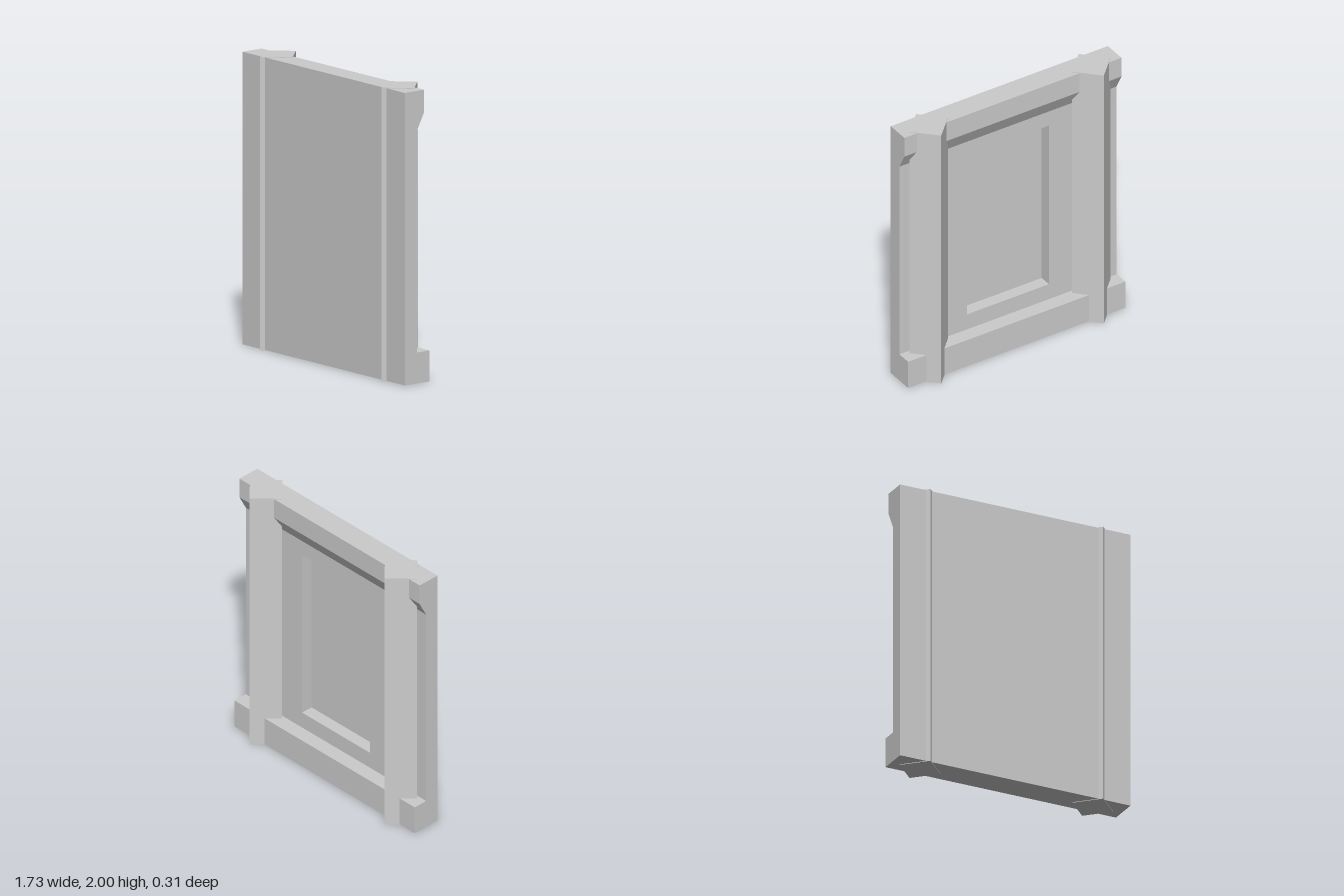
import * as THREE from 'three';

export function createModel() {
  const group = new THREE.Group();
  const material = new THREE.MeshStandardMaterial({ color: 0xcccccc, flatShading: true });

  const W = 1.73, BOTTOM = 0.004, TOP = 1.996;
  const FRONT = 0.13, PANEL = 0.112, BACK = 0.024;

  const add = (name, geometry) => {
    const mesh = new THREE.Mesh(geometry, material);
    mesh.name = name;
    group.add(mesh);
    return mesh;
  };

  // Closed shape from a list of [x, y] points
  const polygon = (points) => new THREE.Shape(points.map(([x, y]) => new THREE.Vector2(x, y)));
  const rect = (x, y0, y1) => [[-x, y0], [x, y0], [x, y1], [-x, y1]];

  // Side profile of [z, y] points, swept across the full width
  const sweepAcross = (points) => {
    const shape = polygon(points.map(([z, y]) => [-z, y]));
    const geometry = new THREE.ExtrudeGeometry(shape, { depth: W, bevelEnabled: false });
    return geometry.translate(0, 0, -W / 2).rotateY(Math.PI / 2);
  };

  // Flat front sheet, which also closes the recess
  const sheet = new THREE.BoxGeometry(W, TOP - BOTTOM, FRONT - PANEL);
  add('frontSheet', sheet.translate(0, (TOP + BOTTOM) / 2, (FRONT + PANEL) / 2));

  // Wall body with the rectangular recess open to the back
  const body = polygon(rect(W / 2, BOTTOM, TOP));
  body.holes.push(polygon(rect(0.326, 0.336, 1.616)));
  const bodyGeometry = new THREE.ExtrudeGeometry(body, { depth: PANEL - BACK, bevelEnabled: false });
  add('wallBody', bodyGeometry.translate(0, 0, BACK));

  // Base ledge and sloped top rail on the back
  add('baseLedge', sweepAcross([[BACK, BOTTOM], [BACK, 0.215], [-0.082, 0.215], [-0.082, BOTTOM]]));
  add('topRail', sweepAcross([[BACK, 1.73], [BACK, TOP], [-0.036, TOP], [-0.036, 1.845]]));

  // Square posts turned by 45 degrees, their corners showing on both faces
  for (const side of [1, -1]) {
    const post = add(side > 0 ? 'leftPost' : 'rightPost', new THREE.CylinderGeometry(0.153, 0.153, 2, 4));
    post.position.set(side * 0.648, 1, 0);
  }

  return group;
}
